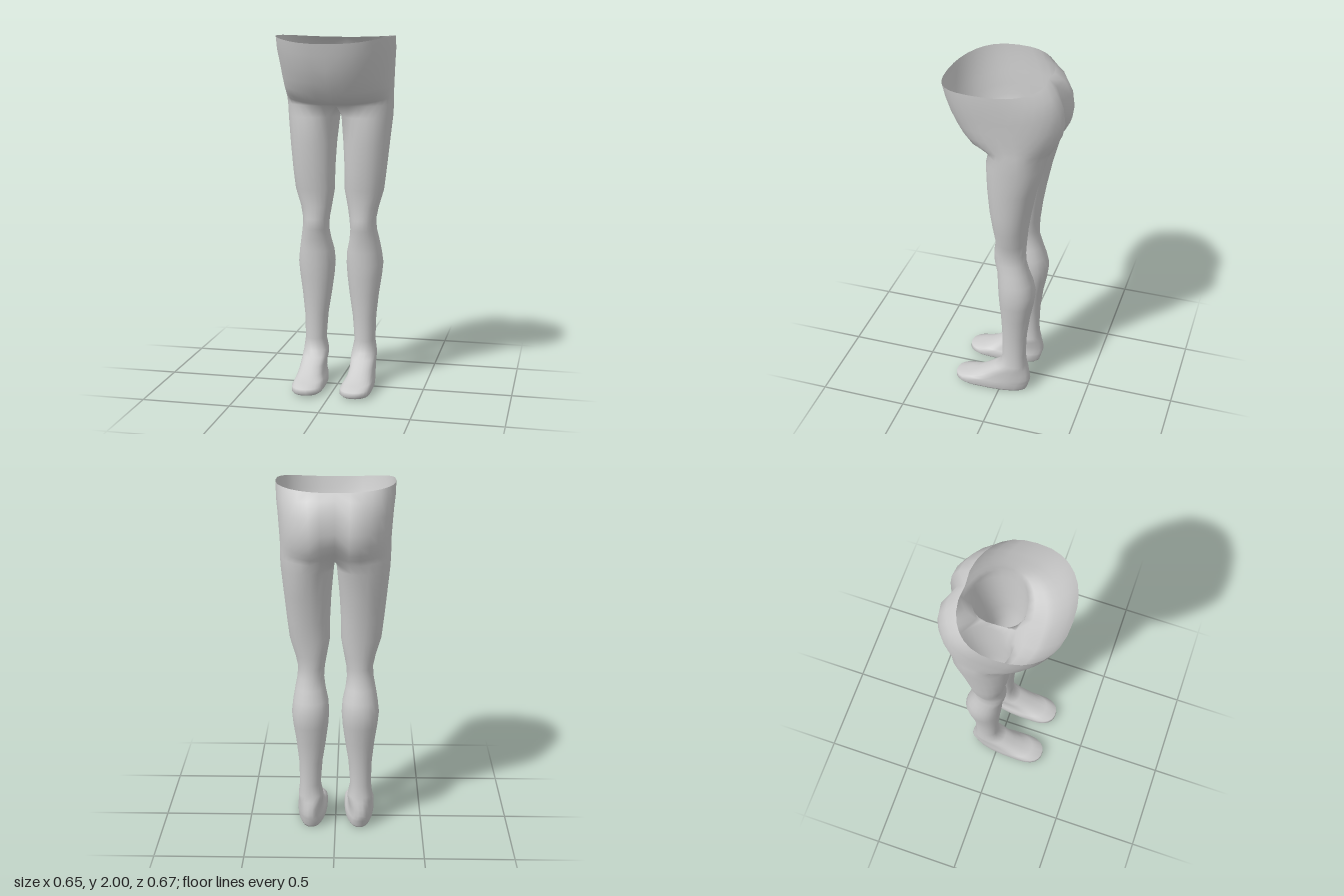
import * as THREE from 'three';
import { mergeVertices } from 'three/addons/utils/BufferGeometryUtils.js';

const OUT = 16; // segments around the outside of one body half
const IN = 8; // segments along the inner thigh
const pw = (v, e) => Math.sign(v) * Math.pow(Math.abs(v), e);
const lerp = THREE.MathUtils.lerp;

// Pelvis rows: y front, y side, y back, half width, z front, z widest, z back, groin groove, cleft depth
const PELVIS = [
  [1.96, 2.0, 1.985, 0.325, 0.34, 0.05, -0.225, 0, 0.012],
  [1.9, 1.93, 1.95, 0.323, 0.325, 0.03, -0.285, 0, 0.03],
  [1.82, 1.85, 1.87, 0.313, 0.3, 0, -0.328, 0, 0.045],
  [1.75, 1.78, 1.78, 0.307, 0.265, -0.02, -0.34, 0, 0.05],
  [1.69, 1.73, 1.71, 0.303, 0.23, -0.04, -0.328, 0, 0.06],
  [1.645, 1.69, 1.66, 0.3, 0.19, -0.06, -0.305, 0, 0.08],
  [1.625, 1.66, 1.63, 0.3, 0.12, -0.07, -0.285, 0.02, 0.09],
  [1.615, 1.62, 1.6, 0.3, 0.08, -0.08, -0.265, 0.03, 0.1],
];

// Leg rows: y, x inner, x outer, z front, z back
const LEG = [
  [1.55, 0.008, 0.296, 0.075, -0.24],
  [1.4, 0.022, 0.282, 0.07, -0.2],
  [1.25, 0.03, 0.267, 0.058, -0.17],
  [1.14, 0.03, 0.254, 0.043, -0.152],
  [1.04, 0.048, 0.224, 0.03, -0.142],
  [0.97, 0.06, 0.21, 0.042, -0.138],
  [0.91, 0.064, 0.214, 0.038, -0.142],
  [0.85, 0.056, 0.226, 0.022, -0.158],
  [0.78, 0.04, 0.238, 0.018, -0.182],
  [0.71, 0.035, 0.246, 0.015, -0.197],
  [0.63, 0.041, 0.238, 0.01, -0.187],
  [0.53, 0.054, 0.223, 0.001, -0.167],
  [0.4, 0.074, 0.209, -0.006, -0.15],
  [0.26, 0.085, 0.205, -0.008, -0.145],
];

// Foot rows: as the leg, plus z of the widest point and tilt toward the toes
const FOOT = [
  [0.19, 0.071, 0.214, 0, -0.15],
  [0.16, 0.07, 0.215, 0.04, -0.16, -0.05],
  [0.12, 0.075, 0.215, 0.1, -0.17, 0],
  [0.085, 0.072, 0.218, 0.155, -0.175, 0.05],
  [0.062, 0.062, 0.222, 0.215, -0.172, 0.1],
  [0.047, 0.052, 0.226, 0.282, -0.168, 0.15],
  [0.02, 0.05, 0.226, 0.285, -0.158, 0.16, 0.02],
  [0.007, 0.06, 0.218, 0.27, -0.15, 0.15, 0.02],
  [0.007, 0.14, 0.14, 0.2, -0.1, 0.15, 0.02],
];

// Half pelvis outline from belly centre to cleft; the inner points lie on the crotch seam
function pelvisRing([yF, yS, yB, w, zf, cz, zb, gF, gB]) {
  const ring = [];
  for (let j = 0; j <= OUT; j++) {
    const a = (j / OUT) * Math.PI;
    const c = j * 2 === OUT ? 0 : Math.cos(a);
    const x = j % OUT === 0 ? 0 : w * pw(Math.sin(a), 0.85);
    const near = Math.max(0, 1 - x / 0.11) ** 1.5;
    const z = cz + pw(c, 0.83) * (c > 0 ? zf - cz : cz - zb) + near * (c > 0 ? -gF : gB);
    ring.push([x, lerp(yS, c > 0 ? yF : yB, c * c), z]);
  }
  for (let k = 1; k < IN; k++) {
    const t = k / IN;
    ring.push([0, lerp(yB, yF, t), lerp(zb + gB, zf - gF, t)]);
  }
  return ring;
}

// Closed outline of the leg or foot
function legRing([y, xi, xo, zf, zb, cz = (zf + zb) / 2, tilt = 0], isFoot) {
  const e = isFoot ? 0.85 : 0.95;
  const ring = [];
  for (let j = 0; j < OUT + IN; j++) {
    const deg = j <= OUT ? -40 + (260 * j) / OUT : 220 + (100 * (j - OUT)) / IN;
    const a = THREE.MathUtils.degToRad(deg);
    const c = Math.cos(a);
    const dz = pw(c, e) * (c > 0 ? zf - cz : cz - zb);
    ring.push([(xi + xo) / 2 + ((xo - xi) / 2) * pw(Math.sin(a), e), y + tilt * dz, cz + dz]);
  }
  return ring;
}

export function createModel() {
  const rings = [
    ...PELVIS.map(pelvisRing),
    ...LEG.map((r) => legRing(r, false)),
    ...FOOT.map((r) => legRing(r, true)),
  ];
  const n = OUT + IN;
  const half = rings.length * n;
  const positions = [];
  for (const side of [1, -1]) {
    for (const ring of rings) for (const [x, y, z] of ring) positions.push(side * x, y, z);
  }

  // Skin a span of rows on one side; the pelvis is skinned on its outside only
  const index = [];
  const parts = [];
  function skin(from, to, side, columns) {
    const base = side > 0 ? 0 : half;
    for (let i = from; i < to; i++) {
      for (let j = 0; j < columns; j++) {
        const a = base + i * n + j;
        const b = base + i * n + ((j + 1) % n);
        const c = a + n;
        const d = b + n;
        if (side > 0) index.push(a, c, b, b, c, d);
        else index.push(a, b, c, b, d, c);
      }
    }
  }
  function part(name, build) {
    const start = index.length;
    build();
    parts.push({ name, start, end: index.length });
  }

  const crotch = PELVIS.length - 1;
  const ankle = crotch + LEG.length;
  const sole = rings.length - 1;
  part('pelvis', () => [1, -1].forEach((s) => skin(0, crotch, s, OUT)));
  for (const [name, s] of [['left', 1], ['right', -1]]) {
    part(name + 'Leg', () => skin(crotch, ankle, s, n));
    part(name + 'Foot', () => skin(ankle, sole, s, n));
  }

  // Weld the halves so that shading runs smoothly across all parts
  let body = new THREE.BufferGeometry();
  body.setAttribute('position', new THREE.Float32BufferAttribute(positions, 3));
  body.setIndex(index);
  body = mergeVertices(body, 1e-4);
  body.computeVertexNormals();

  const material = new THREE.MeshStandardMaterial({ color: 0xcccccc, side: THREE.DoubleSide });
  const group = new THREE.Group();
  group.name = 'lowerBody';
  const welded = Array.from(body.index.array);
  for (const { name, start, end } of parts) {
    const geometry = new THREE.BufferGeometry();
    geometry.setAttribute('position', body.attributes.position);
    geometry.setAttribute('normal', body.attributes.normal);
    geometry.setIndex(welded.slice(start, end));
    const mesh = new THREE.Mesh(geometry, material);
    mesh.name = name;
    group.add(mesh);
  }
  return group;
}
